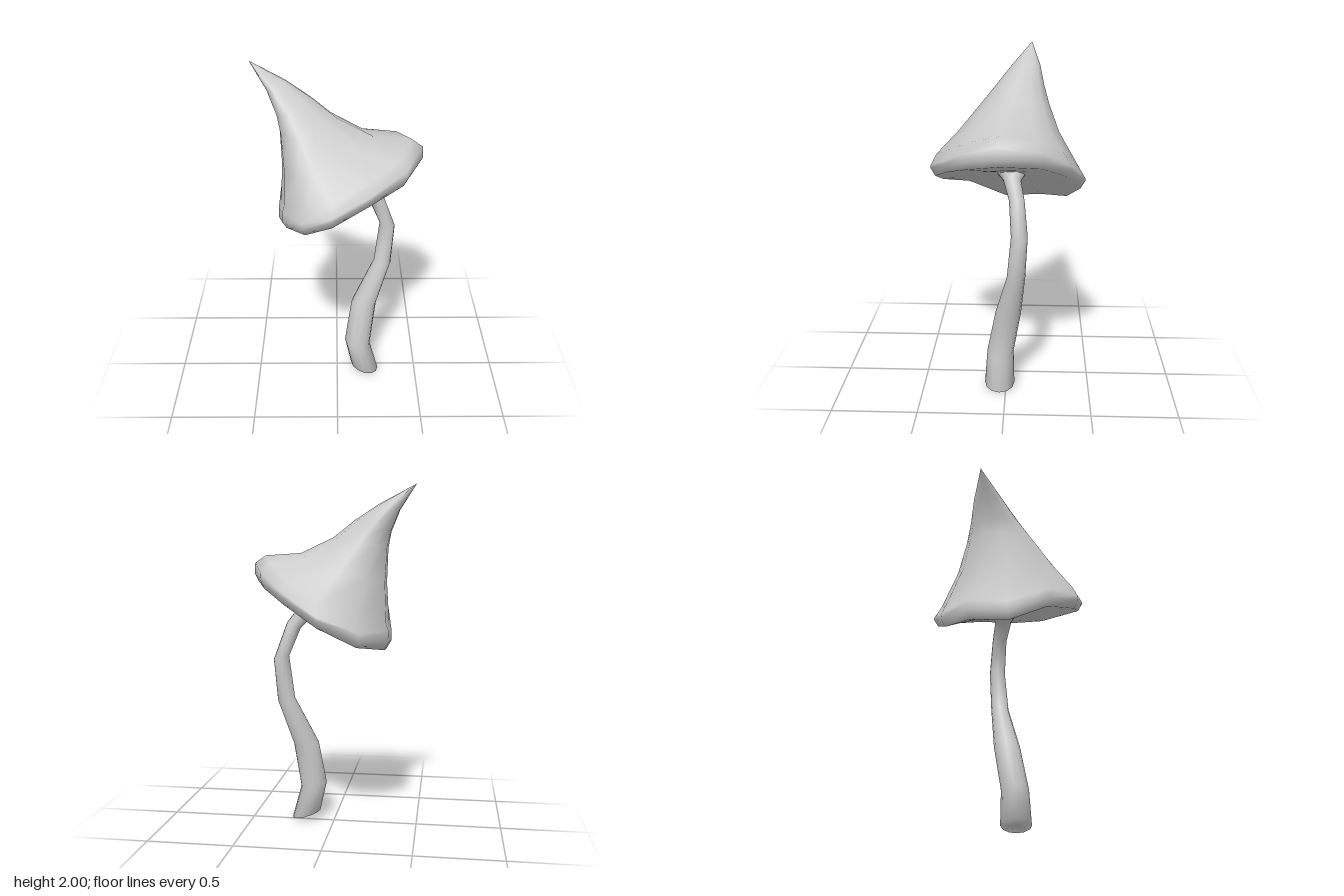
import * as THREE from 'three';

const SIDES = 12;

// Skins a list of rings (each SIDES points, ordered from +x towards +z) with smooth normals.
function loft(rings, name, material) {
  const n = rings[0].length, index = [];
  for (let r = 0; r < rings.length - 1; r++) {
    for (let i = 0; i < n; i++) {
      const j = (i + 1) % n;
      const a = r * n + i, b = r * n + j, c = a + n, d = b + n;
      index.push(a, c, b, b, c, d);
    }
  }
  const geometry = new THREE.BufferGeometry();
  geometry.setAttribute('position', new THREE.Float32BufferAttribute(rings.flat(2), 3));
  geometry.setIndex(index);
  geometry.computeVertexNormals();
  const mesh = new THREE.Mesh(geometry, material);
  mesh.name = name;
  return mesh;
}

// Stem ring spanning from its left edge to its right edge in the xy plane.
function stemRing([lx, ly, rx, ry, z], scale = 1) {
  const cx = (lx + rx) / 2, cy = (ly + ry) / 2;
  const ux = (rx - lx) / 2 * scale, uy = (ry - ly) / 2 * scale;
  const rz = Math.hypot(ux, uy);
  return Array.from({ length: SIDES }, (_, i) => {
    const a = i / SIDES * Math.PI * 2;
    return [cx + ux * Math.cos(a), cy + uy * Math.cos(a), z + rz * Math.sin(a)];
  });
}

// Lower lip of the cap: x, y, z
const RIM = [
  [0.03, 1.22, -0.455], [0.24, 1.34, -0.365], [0.39, 1.42, -0.215], [0.48, 1.45, 0.025],
  [0.38, 1.41, 0.22], [0.175, 1.345, 0.35], [-0.035, 1.27, 0.452], [-0.19, 1.21, 0.42],
  [-0.305, 1.17, 0.26], [-0.34, 1.07, 0.02], [-0.34, 1.08, -0.21], [-0.19, 1.11, -0.38],
];
const RIM_X = 0.07, RIM_RX = 0.41, RIM_RZ = 0.455;

// Rim outline shrunk and lifted by amounts that depend on t, running from -1 (low side) to 1 (high side)
const lipRing = (scale, lift) =>
  RIM.map(([x, y, z]) => {
    const t = (x - RIM_X) / RIM_RX, s = scale(t);
    return [RIM_X + (x - RIM_X) * s, y + lift(t), z * s];
  });

// Underside ring, blending from the lip (s = 1) to the stem joint (s = 0)
const underRing = (s) =>
  RIM.map(([x, y, z]) => [0.11 + (x - 0.11) * s, 1.33 + (y - 1.33) * s, -0.03 + (z + 0.03) * s]);

// Upper ring with its own centre, half widths and sideways slope
const crownRing = ([cx, cy, cz, rx, rz, slope]) =>
  RIM.map(([x, , z]) => {
    const dx = (x - RIM_X) / RIM_RX * rx;
    return [cx + dx, cy + dx * slope, cz + z / RIM_RZ * rz];
  });

export function createModel() {
  const group = new THREE.Group();
  group.name = 'mushroom';
  const material = new THREE.MeshStandardMaterial({ color: 0xcccccc });

  // Crooked stem: left x, left y, right x, right y, z
  const sections = [
    [0.09, 0.05, 0.262, 0.0, 0.038],
    [0.05, 0.23, 0.207, 0.2, 0.035],
    [0.09, 0.49, 0.242, 0.48, -0.013],
    [0.225, 0.77, 0.328, 0.75, -0.062],
    [0.255, 1.02, 0.347, 1.0, -0.08],
    [0.188, 1.185, 0.27, 1.215, -0.063],
    [0.11, 1.265, 0.19, 1.325, -0.035],
    [0.04, 1.27, 0.16, 1.39, -0.03],
  ];
  // The foot is closed by a ring drawn in to its middle
  const foot = stemRing(sections[0], 0.001);
  group.add(loft([foot, ...sections.map((s) => stemRing(s))], 'stem', material));

  // Cap: underside, rounded lip, then a leaning crown drawn out to a point
  group.add(loft([
    underRing(0.001),
    underRing(0.5),
    lipRing(() => 0.94, () => 0),
    lipRing(() => 1, () => 0.045),
    lipRing(() => 0.995, (t) => 0.06 + 0.05 * t * t),
    lipRing((t) => 0.9 - 0.06 * t, (t) => 0.13 + 0.025 * t * t),
    crownRing([-0.055, 1.535, 0.0, 0.255, 0.3, 0.33]),
    crownRing([-0.16, 1.68, -0.04, 0.16, 0.2, 0.18]),
    crownRing([-0.235, 1.775, -0.066, 0.104, 0.145, 0.32]),
    crownRing([-0.33, 1.878, -0.1, 0.06, 0.087, 0.27]),
    crownRing([-0.48, 2.0, -0.135, 0.001, 0.001, 0]),
  ], 'cap', material));

  return group;
}
